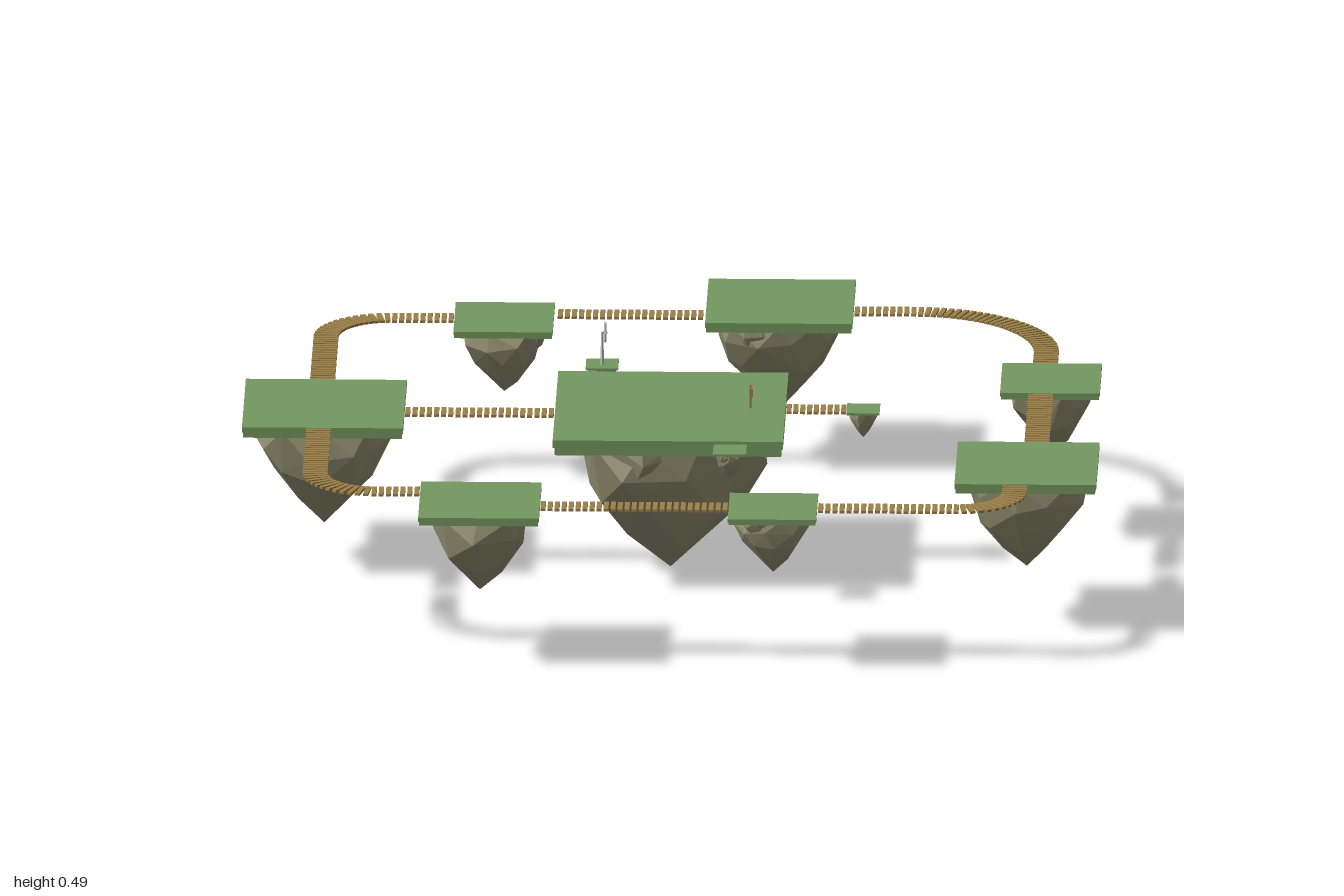
import * as THREE from 'three';
import { mergeGeometries } from 'three/addons/utils/BufferGeometryUtils.js';
import { ConvexGeometry } from 'three/addons/geometries/ConvexGeometry.js';

const TOP = 0.39;
const mat = (color) => new THREE.MeshStandardMaterial({ color, flatShading: true });
const grass = mat(0x739960), rock = mat(0x969273), wood = mat(0x9c8048), grey = mat(0xcccccc);

function seeded(seed) {
  let s = seed * 7919 + 17;
  return () => (s = (s * 16807) % 2147483647) / 2147483647;
}

function add(parent, name, geometry, material, x = 0, y = 0, z = 0) {
  const mesh = new THREE.Mesh(geometry, material);
  mesh.name = name;
  mesh.position.set(x, y, z);
  parent.add(mesh);
  return mesh;
}

// Faceted boulder hanging below y = 0: jittered rings narrowing to a tip
function boulder(radius, depth, rand) {
  const rings = [[0, 0.95, 9], [0.22, 0.95, 9], [0.48, 0.76, 8], [0.74, 0.42, 6]];
  const points = [new THREE.Vector3(0, -depth, 0)];
  for (const [t, r, n] of rings) {
    const turn = rand() * 6;
    for (let i = 0; i < n; i++) {
      const a = turn + ((i + (rand() - 0.5) * 0.5) / n) * Math.PI * 2;
      const d = radius * r * (0.9 + rand() * 0.2);
      const y = t ? -depth * (t + (rand() - 0.5) * 0.12) : 0;
      points.push(new THREE.Vector3(Math.cos(a) * d, y, Math.sin(a) * d));
    }
  }
  return new ConvexGeometry(points);
}

// Square grass slab on a hanging rock
function island(name, x, z, size, bottom, seed) {
  const g = new THREE.Group();
  g.name = name;
  g.position.set(x, TOP, z);
  const rand = seeded(seed), t = size * 0.07;
  add(g, 'grassTop', new THREE.BoxGeometry(size, t * 0.5, size), grass, 0, -t * 0.25, 0);
  add(g, 'grassLowerLayer', new THREE.BoxGeometry(size * 0.985, t * 0.5, size * 0.985), grass, 0, -t * 0.75, 0);
  const depth = TOP - bottom - t;
  add(g, 'rock', boulder(size * 0.435, depth, rand), rock, 0, -t, 0);
  // Smaller chunk bulging from the side
  const a = seed * 2.1;
  add(g, 'sideRock', boulder(size * 0.22, depth * 0.5, rand), rock,
    Math.cos(a) * size * 0.23, -t, Math.sin(a) * size * 0.23);
  return g;
}

// Plank walkway through [x, z] points with rounded corners of the given radius
function walkway(name, pts, radius = 0) {
  const v = pts.map(([x, z]) => new THREE.Vector3(x, TOP - 0.004, z));
  const path = new THREE.CurvePath();
  let from = v[0];
  for (let i = 1; i < v.length - 1; i++) {
    const c = v[i];
    const step = (p) => p.clone().sub(c).normalize();
    const a = step(v[i - 1]), b = step(v[i + 1]);
    const at = (d, r) => c.clone().addScaledVector(d, r);
    path.add(new THREE.LineCurve3(from, at(a, radius)));
    path.add(new THREE.CubicBezierCurve3(at(a, radius), at(a, radius * 0.45), at(b, radius * 0.45), at(b, radius)));
    from = at(b, radius);
  }
  path.add(new THREE.LineCurve3(from, v[v.length - 1]));
  const n = Math.round(path.getLength() / 0.0165);
  const planks = [];
  for (let i = 0; i < n; i++) {
    const t = (i + 0.5) / n;
    const p = path.getPoint(t), d = path.getTangent(t);
    planks.push(new THREE.BoxGeometry(0.058, 0.006, 0.0115)
      .rotateY(Math.atan2(d.x, d.z)).translate(p.x, p.y, p.z));
  }
  const mesh = new THREE.Mesh(mergeGeometries(planks), wood);
  mesh.name = name;
  return mesh;
}

// Small windmill facing +x
function windmill() {
  const g = new THREE.Group();
  g.name = 'windmill';
  g.position.set(-0.173, TOP, -0.268);
  add(g, 'pole', new THREE.CylinderGeometry(0.003, 0.005, 0.08, 6), grey, 0, 0.04, 0);
  const rotor = new THREE.Group();
  rotor.name = 'rotor';
  rotor.position.set(0.007, 0.079, 0);
  add(rotor, 'hub', new THREE.CylinderGeometry(0.004, 0.004, 0.01, 8).rotateZ(Math.PI / 2), grey);
  for (let i = 0; i < 6; i++) {
    const blade = new THREE.BoxGeometry(0.002, 0.021, 0.01).rotateY(0.4).translate(0, 0.0145, 0);
    add(rotor, 'blade', blade.rotateX((i * Math.PI) / 3 + 0.2), grey);
  }
  g.add(rotor);
  return g;
}

// Wooden board on two posts
function signpost() {
  const g = new THREE.Group();
  g.name = 'signpost';
  g.position.set(0.18, TOP, 0.05);
  for (const z of [-0.01, 0.01])
    add(g, 'post', new THREE.BoxGeometry(0.004, 0.05, 0.004), wood, 0, 0.025, z);
  add(g, 'board', new THREE.BoxGeometry(0.004, 0.02, 0.034), wood, 0.004, 0.038, 0);
  return g;
}

export function createModel() {
  const model = new THREE.Group();
  model.name = 'floatingIslands';

  // name, x, z, size, lowest y
  const islands = [
    ['mainIsland', -0.006, 0.053, 0.536, 0],
    ['rightIsland', -0.812, 0.05, 0.375, 0.1],
    ['backRightIsland', -0.41, -0.627, 0.231, 0.21],
    ['backLeftIsland', 0.23, -0.765, 0.343, 0.13],
    ['leftIsland', 0.874, -0.186, 0.232, 0.21],
    ['frontLeftIsland', 0.834, 0.471, 0.33, 0.14],
    ['frontIsland', 0.251, 0.818, 0.206, 0.23],
    ['frontRightIsland', -0.432, 0.786, 0.281, 0.172],
    ['backIslet', -0.173, -0.275, 0.076, 0.32],
    ['frontIslet', 0.14, 0.382, 0.078, 0.32],
    ['leftIslet', 0.443, 0.056, 0.077, 0.32],
  ];
  islands.forEach((p, i) => model.add(island(...p, i + 1)));

  model.add(
    walkway('mainWalkway', [[-0.625, 0.097], [-0.274, 0.097]]),
    walkway('isletWalkway', [[0.262, 0.054], [0.405, 0.054]]),
    walkway('backRightWalkway', [[-0.821, -0.137], [-0.821, -0.629], [-0.525, -0.629]], 0.15),
    walkway('backWalkway', [[-0.288, -0.667], [0.055, -0.667]]),
    walkway('backLeftWalkway', [[0.402, -0.705], [0.858, -0.705], [0.858, -0.302]], 0.31),
    walkway('leftWalkway', [[0.853, -0.07], [0.853, 0.306]]),
    walkway('frontLeftWalkway', [[0.81, 0.636], [0.81, 0.817], [0.354, 0.817]], 0.13),
    walkway('frontWalkway', [[0.148, 0.817], [-0.292, 0.817]]),
    walkway('frontRightWalkway', [[-0.572, 0.712], [-0.821, 0.712], [-0.821, 0.238]], 0.14),
    windmill(),
    signpost(),
  );
  return model;
}
